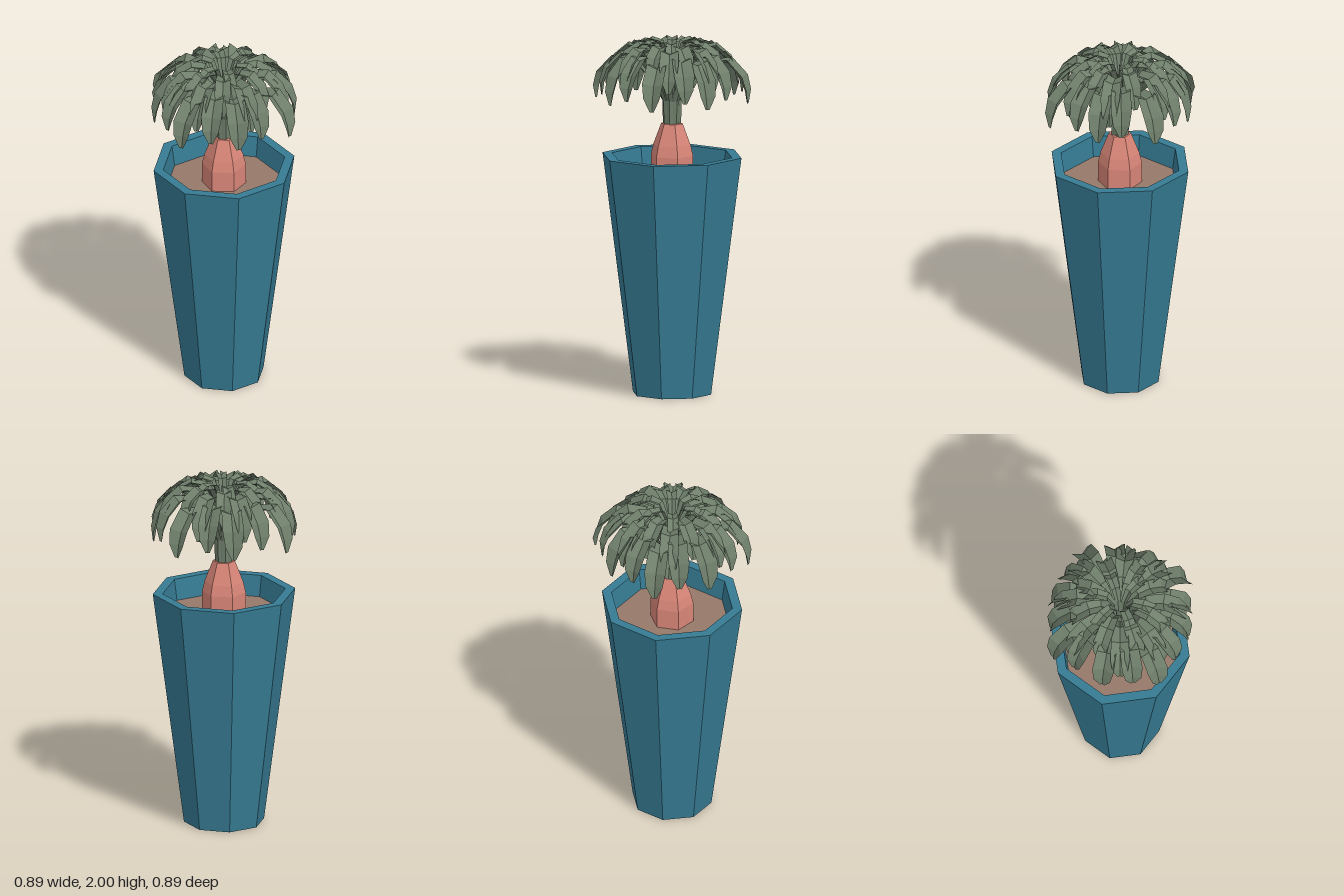
import * as THREE from 'three';

const mat = (name, color, side = THREE.FrontSide) => {
  const m = new THREE.MeshStandardMaterial({ color, flatShading: true, side });
  m.name = name;
  return m;
};

// Faceted solid of revolution from [radius, height] pairs
function turned(name, profile, sides, material) {
  const g = new THREE.LatheGeometry(profile.map(([r, y]) => new THREE.Vector2(r, y)), sides);
  const mesh = new THREE.Mesh(g.toNonIndexed(), material);
  mesh.geometry.computeVertexNormals();
  mesh.name = name;
  return mesh;
}

// Folded strip along a curved spine of [radius, height, half width]; its edges lift to form a V
function leafGeometry(spine) {
  const pos = [], idx = [];
  spine.forEach(([r, y, w], i) => {
    const a = spine[Math.max(i - 1, 0)], b = spine[Math.min(i + 1, spine.length - 1)];
    const t = new THREE.Vector2(b[0] - a[0], b[1] - a[1]).normalize();
    const lift = w * 0.5;
    const er = r - t.y * lift, ey = y + t.x * lift;
    pos.push(er, ey, -w, r, y, 0, er, ey, w);
    if (i > 0) {
      for (let k = 0; k < 2; k++) {
        const p = (i - 1) * 3 + k, q = p + 3;
        idx.push(p, p + 1, q, p + 1, q + 1, q);
      }
    }
  });
  const g = new THREE.BufferGeometry();
  g.setAttribute('position', new THREE.Float32BufferAttribute(pos, 3));
  g.setIndex(idx);
  const flat = g.toNonIndexed();
  flat.computeVertexNormals();
  return flat;
}

export function createModel() {
  const model = new THREE.Group();
  model.name = 'pottedPalm';
  const potBlue = mat('potBlue', 0x367b93);
  const soilBrown = mat('soilBrown', 0x96796a);
  const trunkPink = mat('trunkPink', 0xd98678);
  const leafGreen = mat('leafGreen', 0x6f7f6b, THREE.DoubleSide);

  // Tall tapered octagonal pot with an open rim
  model.add(turned('pot', [[0, 0], [0.225, 0], [0.4, 1.34], [0.345, 1.34], [0.325, 1.2]], 8, potBlue));
  model.add(turned('soil', [[0.33, 1.22], [0, 1.22]], 8, soilBrown));

  // Swollen six-sided trunk and the thin core inside the leaf stalks
  model.add(turned('trunk', [[0.122, 1.2], [0.122, 1.34], [0.108, 1.4], [0.062, 1.52], [0, 1.53]], 6, trunkPink));
  model.add(turned('core', [[0.02, 1.52], [0.018, 1.72], [0, 1.72]], 8, trunkPink));

  // Tiers of arching leaves, lowest and longest first
  const tiers = [
    { count: 4, turn: 0, base: 0.052, spine: [[0.056, 1.65, 0.018], [0.12, 1.76, 0.03], [0.22, 1.86, 0.044], [0.32, 1.875, 0.056], [0.395, 1.79, 0.06], [0.42, 1.72, 0.047], [0.432, 1.65, 0.012]] },
    { count: 4, turn: 0.785, base: 0.05, spine: [[0.056, 1.65, 0.018], [0.11, 1.77, 0.03], [0.2, 1.875, 0.044], [0.29, 1.885, 0.056], [0.355, 1.8, 0.06], [0.38, 1.72, 0.047], [0.392, 1.65, 0.012]] },
    { count: 8, turn: 0.393, base: 0.045, spine: [[0.05, 1.66, 0.017], [0.1, 1.8, 0.028], [0.18, 1.895, 0.042], [0.28, 1.905, 0.054], [0.35, 1.83, 0.058], [0.38, 1.76, 0.045], [0.39, 1.69, 0.012]] },
    { count: 8, turn: 0.2, base: 0.036, spine: [[0.042, 1.68, 0.015], [0.08, 1.84, 0.026], [0.15, 1.935, 0.04], [0.24, 1.945, 0.05], [0.31, 1.88, 0.054], [0.35, 1.81, 0.042], [0.365, 1.74, 0.012]] },
    { count: 8, turn: 0.6, base: 0.028, spine: [[0.032, 1.7, 0.013], [0.06, 1.87, 0.022], [0.11, 1.955, 0.033], [0.18, 1.965, 0.042], [0.25, 1.92, 0.045], [0.285, 1.86, 0.035], [0.3, 1.81, 0.012]] },
    { count: 6, turn: 0.3, base: 0.02, spine: [[0.02, 1.72, 0.012], [0.034, 1.88, 0.016], [0.075, 1.975, 0.025], [0.13, 1.982, 0.031], [0.185, 1.945, 0.033], [0.215, 1.9, 0.028], [0.225, 1.86, 0.012]] },
  ];
  const leaves = new THREE.Group();
  leaves.name = 'leaves';
  tiers.forEach(({ count, turn, base, spine }, tier) => {
    const g = leafGeometry([[base, 1.52, 0.017], ...spine]);
    for (let i = 0; i < count; i++) {
      const leaf = new THREE.Mesh(g, leafGreen);
      leaf.name = 'leaf';
      const wobble = tier < 2 ? 0 : 0.06 * Math.sin(i * 2.3 + tier);
      leaf.rotation.y = turn + wobble + (i / count) * Math.PI * 2;
      leaves.add(leaf);
    }
  });
  model.add(leaves);
  return model;
}
